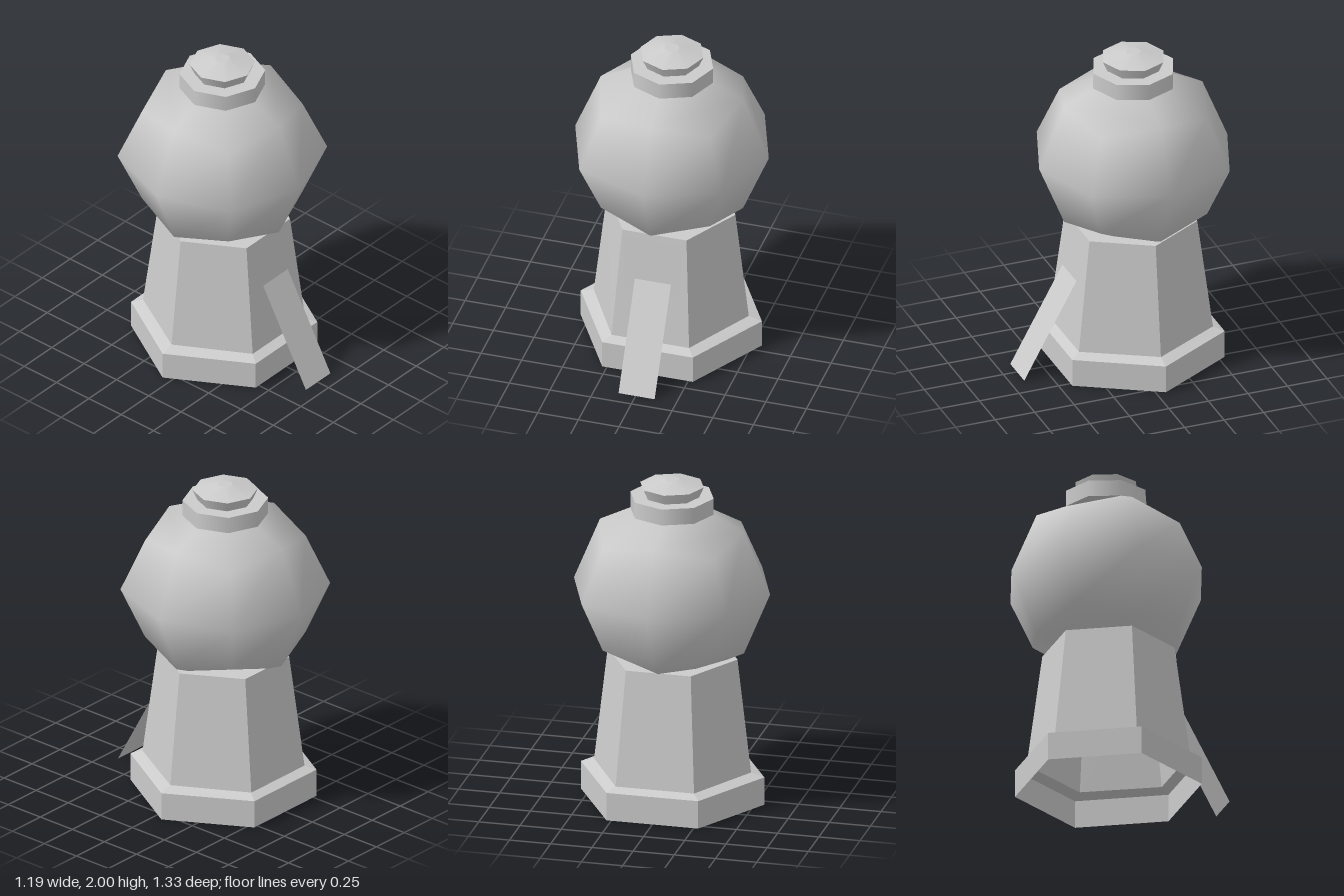
import * as THREE from 'three';

const grey = (flatShading) =>
  new THREE.MeshStandardMaterial({ color: 0xcccccc, flatShading, side: THREE.DoubleSide });

function part(name, geometry, flatShading, y = 0, z = 0) {
  const mesh = new THREE.Mesh(geometry, grey(flatShading));
  mesh.name = name;
  mesh.position.set(0, y, z);
  return mesh;
}

// Six-sided shell with flats to the front and back: profile is a list of [radius, y]
function hexShell(name, profile) {
  const points = profile.map(([r, y]) => new THREE.Vector2(r, y));
  const geometry = new THREE.LatheGeometry(points, 6, Math.PI / 2);
  // The foot of the body is slightly narrower than deep
  const p = geometry.attributes.position;
  for (let i = 0; i < p.count; i++) {
    if (Math.abs(p.getY(i) - 0.195) < 0.001) p.setX(i, p.getX(i) * 0.972);
  }
  return part(name, geometry, true, 0, -0.058);
}

// Eight-sided smooth-shaded ring between two heights
function octagon(name, rBottom, rTop, y0, y1) {
  return part(name, new THREE.CylinderGeometry(rTop, rBottom, y1 - y0, 8), false, (y0 + y1) / 2, -0.072);
}

// Thin flat sheet between a top and a bottom edge, each given as [y, z]
function sheet(name, x0, x1, top, bottom) {
  const geometry = new THREE.PlaneGeometry(x1 - x0, 1);
  const p = geometry.attributes.position;
  for (let i = 0; i < p.count; i++) {
    const [y, z] = p.getY(i) > 0 ? top : bottom;
    p.setXYZ(i, p.getX(i) + (x0 + x1) / 2, y, z);
  }
  return part(name, geometry, true);
}

// Globe: a cube split 2 x 2 per face and rounded, with radial normals
function globe() {
  const geometry = new THREE.BoxGeometry(2, 2, 2, 2, 2, 2);
  const p = geometry.attributes.position;
  const v = new THREE.Vector3();
  for (let i = 0; i < p.count; i++) {
    v.fromBufferAttribute(p, i);
    const kind = Math.round(v.lengthSq()); // 1 face centre, 2 edge middle, 3 corner
    const side = [0.595, 0.437, 0.335][kind - 1];
    const up = [0.593, 0.383, 0.315][kind - 1];
    v.set(v.x * side, v.y * up, v.z * side);
    p.setXYZ(i, v.x, v.y, v.z);
    v.normalize();
    geometry.attributes.normal.setXYZ(i, v.x, v.y, v.z);
  }
  return part('globe', geometry, false, 1.328, -0.072);
}

export function createModel() {
  const model = new THREE.Group();
  model.name = 'candyDispenser';

  // Hollow stand, open underneath
  model.add(hexShell('base', [[0.557, 0], [0.557, 0.172], [0.49, 0.195]]));
  model.add(hexShell('body', [[0.49, 0.195], [0.394, 0.897], [0, 0.897]]));

  // Front plate on the sloped face, and the chute below it
  model.add(sheet('frontPlate', -0.17, 0.17, [0.865, 0.302], [0.525, 0.34]));
  model.add(sheet('chute', -0.105, 0.117, [0.6, 0.334], [0, 0.664]));

  // Globe with collar and knob
  model.add(globe());
  model.add(octagon('collar', 0.253, 0.253, 1.8, 1.9));
  model.add(octagon('knob', 0.165, 0.193, 1.9, 1.965));
  model.add(octagon('knobTop', 0.193, 0.045, 1.965, 2));
  return model;
}
